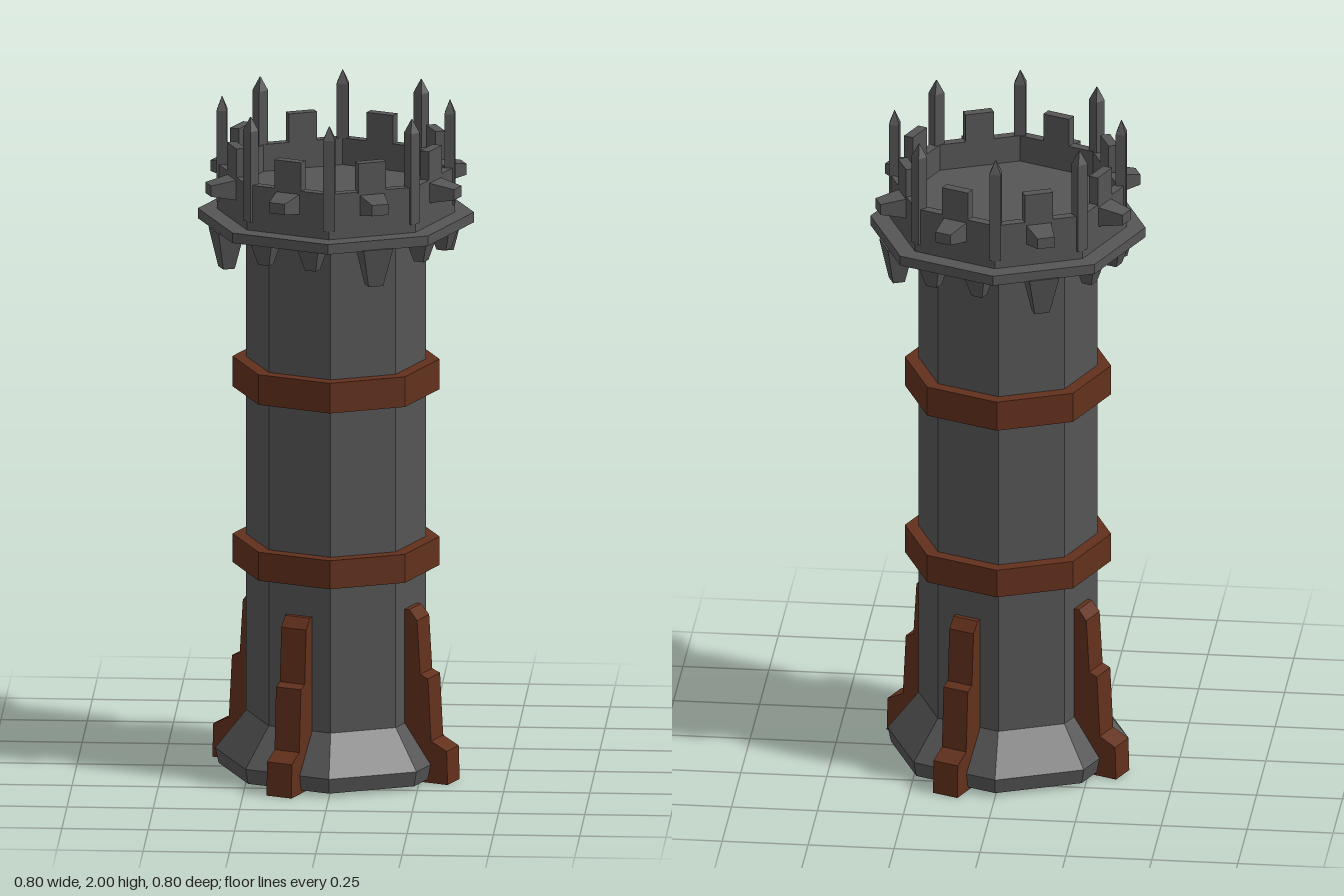
import * as THREE from 'three';

const SIDES = 8;
const FACE = Math.PI / 8; // angle from a corner to the middle of a face

const stone = new THREE.MeshStandardMaterial({ color: 0x555555, flatShading: true });
const shell = new THREE.MeshStandardMaterial({ color: 0x555555, flatShading: true, side: THREE.DoubleSide });
const wood = new THREE.MeshStandardMaterial({ color: 0x62301c, flatShading: true });

// Octagonal turned part from [radius, height] pairs, outside going up
function ring(points, material, name) {
  const profile = points.map(([r, y]) => new THREE.Vector2(r, y));
  const mesh = new THREE.Mesh(new THREE.LatheGeometry(profile, SIDES), material);
  mesh.name = name;
  return mesh;
}

// Closed octagonal hoop with a rectangular section
function hoop(rIn, rOut, y0, y1, material, name) {
  return ring([[rIn, y0], [rOut, y0], [rOut, y1], [rIn, y1], [rIn, y0]], material, name);
}

// Box whose top end has its own width and depth
function taperedBox(w, d, topW, topD, h) {
  const geometry = new THREE.BoxGeometry(w, h, d);
  const p = geometry.attributes.position;
  for (let i = 0; i < p.count; i++) {
    if (p.getY(i) > 0) {
      p.setX(i, p.getX(i) * topW / w);
      p.setZ(i, p.getZ(i) * topD / d);
    }
  }
  geometry.computeVertexNormals();
  return geometry;
}

export function createModel() {
  const model = new THREE.Group();
  model.name = 'tower';

  // Adds a part on a spoke: local +z points outward at the given angle
  function addAt(angle, geometry, material, name, x, y, z) {
    const spoke = new THREE.Group();
    spoke.rotation.y = angle;
    spoke.name = name;
    const mesh = new THREE.Mesh(geometry, material);
    mesh.position.set(x, y, z);
    mesh.name = name;
    spoke.add(mesh);
    model.add(spoke);
  }

  // Hollow shaft with flared foot
  model.add(ring([[0.34, 0.01], [0.35, 0.055], [0.26, 0.17], [0.26, 1.64]], shell, 'shaft'));

  // Wooden bands
  model.add(hoop(0.25, 0.3, 0.61, 0.695, wood, 'lowerBand'));
  model.add(hoop(0.25, 0.3, 1.135, 1.225, wood, 'upperBand'));

  // Collar plate, floor and parapet wall
  model.add(ring([[0, 1.635], [0.4, 1.635], [0.4, 1.665], [0, 1.665]], stone, 'collar'));
  model.add(ring([[0.325, 1.66], [0.325, 1.72], [0, 1.72]], stone, 'floor'));
  model.add(hoop(0.315, 0.345, 1.66, 1.8, stone, 'parapet'));

  // Corner spikes with pointed tips
  const post = new THREE.BoxGeometry(0.034, 0.27, 0.03);
  const tip = taperedBox(0.034, 0.03, 0.002, 0.002, 0.04);
  for (let i = 0; i < SIDES; i++) {
    addAt(i * 2 * FACE, post, stone, 'spikePost', 0, 1.825, 0.33);
    addAt(i * 2 * FACE, tip, stone, 'spikeTip', 0, 1.98, 0.33);
  }

  // Merlon and outward stud on every face
  const merlon = new THREE.BoxGeometry(0.085, 0.09, 0.029);
  const stud = taperedBox(0.075, 0.06, 0.05, 0.032, 0.075);
  stud.rotateX(Math.PI / 2);
  for (let i = 0; i < SIDES; i++) {
    const angle = FACE + i * 2 * FACE;
    addAt(angle, merlon, stone, 'merlon', 0, 1.84, 0.305);
    addAt(angle, stud, stone, 'stud', 0, 1.76, 0.354);
  }

  // Teeth under the collar: one long or two short on alternate faces
  const longTooth = taperedBox(0.045, 0.035, 0.09, 0.08, 0.115);
  const shortTooth = taperedBox(0.035, 0.03, 0.07, 0.07, 0.07);

  // Stepped buttress side profile, [outward, up]
  const outline = [
    [0.24, 0], [0.378, 0], [0.375, 0.1], [0.325, 0.125], [0.315, 0.31],
    [0.29, 0.32], [0.28, 0.48], [0.255, 0.51], [0.24, 0.51],
  ].map(([z, y]) => new THREE.Vector2(z, y));
  const buttress = new THREE.ExtrudeGeometry(new THREE.Shape(outline), { depth: 0.08, bevelEnabled: false });
  buttress.translate(0, 0, -0.04);
  buttress.rotateY(-Math.PI / 2);

  for (let i = 0; i < 4; i++) {
    const quarter = i * Math.PI / 2;
    addAt(quarter + FACE, longTooth, stone, 'longTooth', 0, 1.58, 0.335);
    for (const side of [-1, 1]) {
      addAt(quarter - FACE, shortTooth, stone, 'shortTooth', side * 0.075, 1.602, 0.31);
    }
    addAt(quarter - FACE, buttress, wood, 'buttress', 0, 0, 0);
  }

  return model;
}
